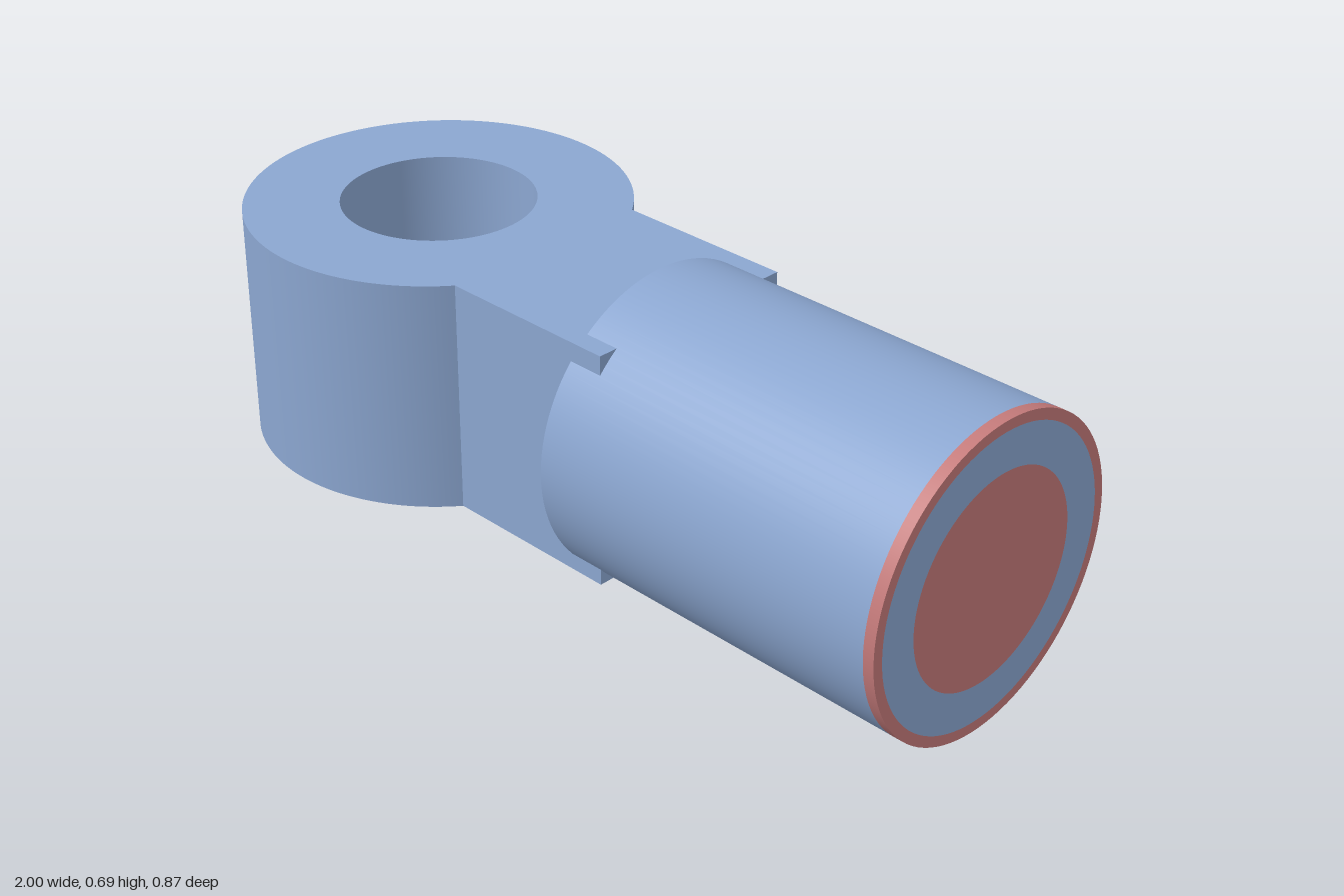
import * as THREE from 'three';
import { toCreasedNormals } from 'three/addons/utils/BufferGeometryUtils.js';

export function createModel() {
  const model = new THREE.Group();
  const steel = new THREE.MeshStandardMaterial({ name: 'steel blue', color: 0x8ba6d0 });
  const red = new THREE.MeshStandardMaterial({ name: 'muted red', color: 0xc47a7a });

  const R = 0.347, SEG = 96;
  const add = (name, geometry, material) => {
    const mesh = new THREE.Mesh(geometry, material);
    mesh.name = name;
    model.add(mesh);
    return mesh;
  };

  // Eye and neck: one keyhole-shaped plate with a bore
  const eyeX = -0.565, eyeR = 0.435, neck = 0.26, neckEnd = 0.213;
  const a = Math.asin(neck / eyeR);
  const outline = new THREE.Shape();
  outline.moveTo(neckEnd, -neck);
  outline.lineTo(neckEnd, neck);
  outline.absarc(eyeX, 0, eyeR, a, Math.PI * 2 - a, false);
  outline.closePath();
  const bore = new THREE.Path();
  bore.absarc(eyeX, 0, 0.22, 0, Math.PI * 2, true);
  outline.holes.push(bore);
  const eye = new THREE.ExtrudeGeometry(outline, { depth: 0.54, bevelEnabled: false, curveSegments: 64 });
  eye.rotateX(-Math.PI / 2);
  eye.translate(0, 0.08, 0);
  add('eyeAndNeck', toCreasedNormals(eye, 0.4), steel);

  // Shank wall pieces along x
  const tube = (x0, x1) => {
    const g = new THREE.CylinderGeometry(R, R, x1 - x0, SEG, 1, true);
    g.rotateZ(-Math.PI / 2);
    return g.translate((x0 + x1) / 2, R, 0);
  };
  add('shank', tube(0.13, 0.975), steel);
  add('shankRim', tube(0.975, 1), red);

  // Flat end faces; facing is +1 or -1 along x
  const disc = (inner, outer, x, facing) => {
    const g = inner > 0 ? new THREE.RingGeometry(inner, outer, SEG) : new THREE.CircleGeometry(outer, SEG);
    g.rotateY(facing * Math.PI / 2);
    return g.translate(x, R, 0);
  };
  add('shankShoulder', disc(0, R, 0.13, -1), steel);
  add('endRim', disc(0.323, R, 1, 1), red);
  add('endRing', disc(0.234, 0.323, 1, 1), steel);
  add('endCentre', disc(0, 0.234, 1, 1), red);

  return model;
}
